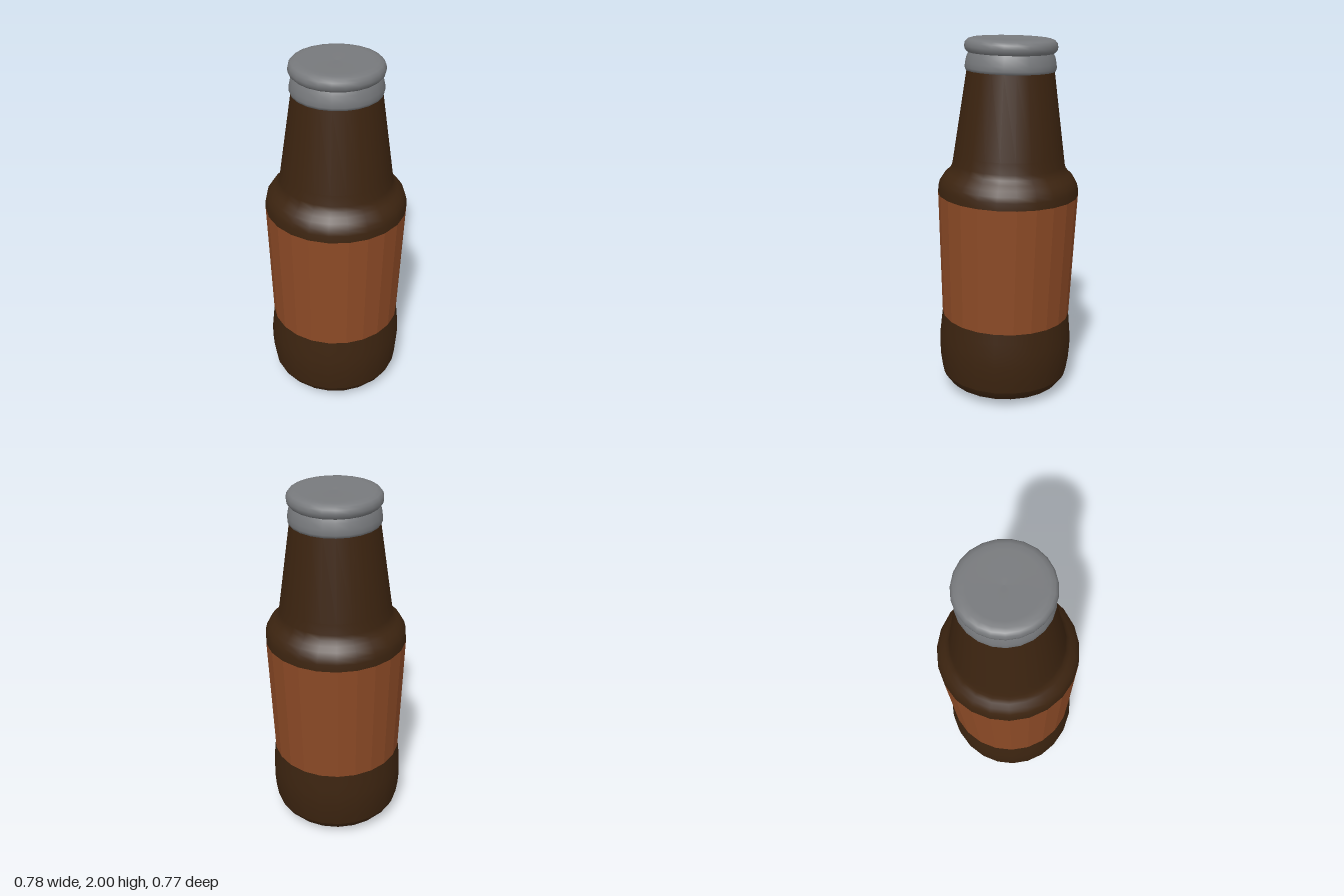
import * as THREE from 'three';

const SIDES = 23;

// Lathed part from [radius, height] pairs, listed from bottom to top
function turned(name, profile, color, flatShading = false) {
  const points = profile.map(([r, y]) => new THREE.Vector2(r, y));
  const geometry = new THREE.LatheGeometry(points, SIDES, Math.PI);
  const material = new THREE.MeshStandardMaterial({ color, flatShading, side: THREE.DoubleSide });
  const mesh = new THREE.Mesh(geometry, material);
  mesh.name = name;
  return mesh;
}

export function createModel() {
  const bottle = new THREE.Group();
  bottle.name = 'bottle';
  const glass = 0x3c2410, paper = 0x8c4a26, metal = 0x77797c;

  // Rounded foot with a shallow hollow underneath
  bottle.add(turned('foot', [
    [0, 0.02], [0.04, 0.012], [0.2, 0.007], [0.26, 0.02], [0.325, 0.055], [0.35, 0.085], [0.362, 0.11],
  ], glass));

  // Lower glass, waisted towards the label
  bottle.add(turned('lowerBody', [
    [0.362, 0.11], [0.372, 0.18], [0.377, 0.26], [0.375, 0.33], [0.368, 0.4], [0.362, 0.46],
  ], glass));

  // Label band, widening upwards
  bottle.add(turned('label', [[0.362, 0.46], [0.386, 1.16]], paper, true));

  // Shoulder and tapering neck
  bottle.add(turned('shoulderAndNeck', [
    [0.386, 1.16], [0.384, 1.2], [0.376, 1.23], [0.358, 1.258], [0.334, 1.28],
    [0.316, 1.302], [0.307, 1.33], [0.298, 1.39], [0.234, 1.83], [0.215, 1.93],
  ], glass));

  // Collar under the lid
  bottle.add(turned('collar', [
    [0.228, 1.832], [0.239, 1.83], [0.244, 1.845], [0.242, 1.87], [0.234, 1.905], [0.222, 1.928],
  ], metal));

  // Rounded lid
  bottle.add(turned('lid', [
    [0.21, 1.922], [0.232, 1.924], [0.244, 1.937], [0.248, 1.955], [0.244, 1.975],
    [0.232, 1.989], [0.21, 1.996], [0.18, 1.997], [0.04, 1.994], [0, 1.992],
  ], metal));

  // The bottle leans very slightly
  bottle.rotation.set(-0.01, 0, -0.02);
  bottle.position.set(-0.019, 0, 0.009);

  const model = new THREE.Group();
  model.name = 'sauceBottle';
  model.add(bottle);
  return model;
}
